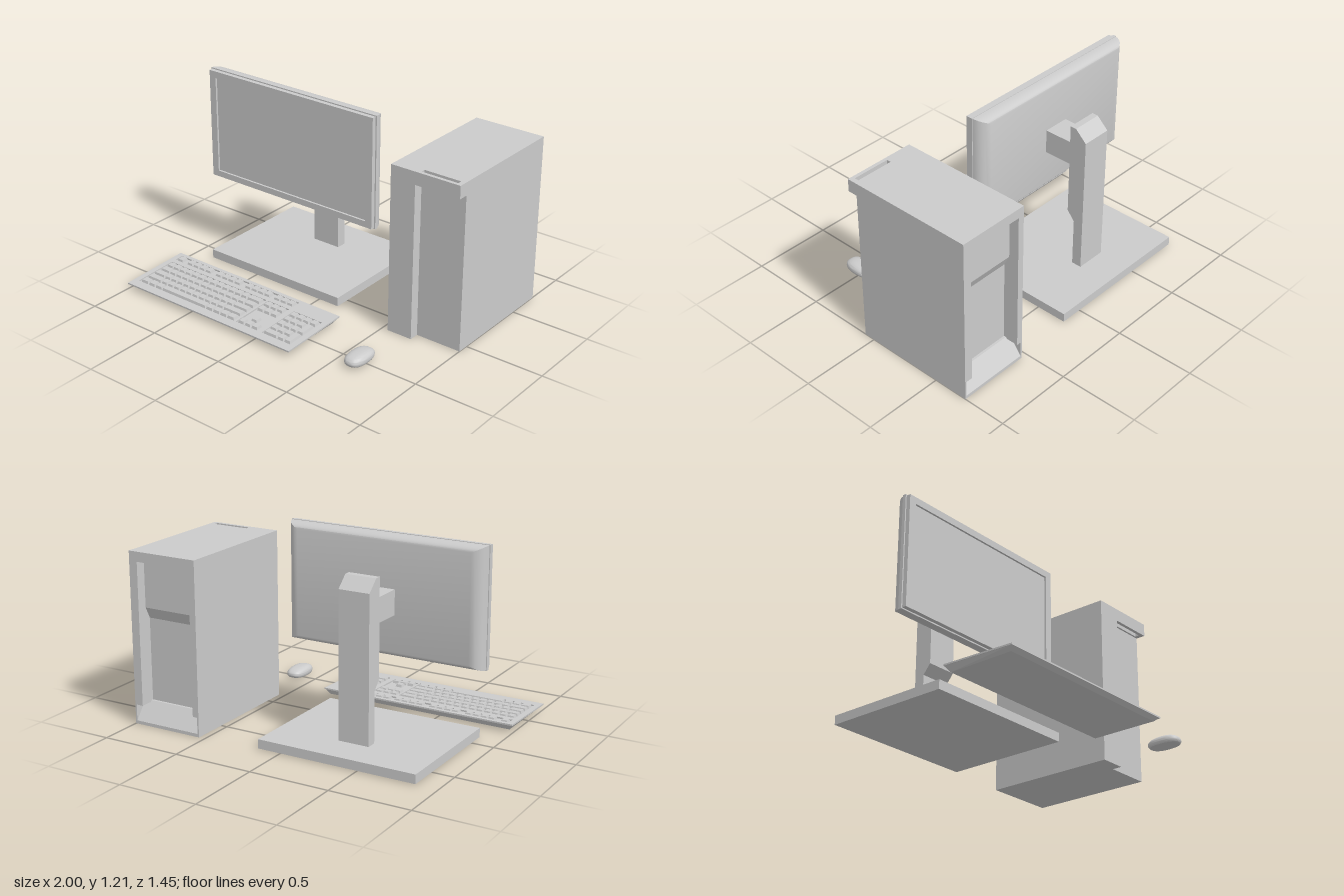
import * as THREE from 'three';
import { mergeGeometries, mergeVertices, toCreasedNormals } from 'three/addons/utils/BufferGeometryUtils.js';

const grey = new THREE.MeshStandardMaterial({ color: 0xcccccc });

function add(group, name, geo) {
  const m = new THREE.Mesh(geo, grey);
  m.name = name;
  group.add(m);
  return m;
}

// Box given by its extents
function box(x0, x1, y0, y1, z0, z1) {
  return new THREE.BoxGeometry(x1 - x0, y1 - y0, z1 - z0)
    .translate((x0 + x1) / 2, (y0 + y1) / 2, (z0 + z1) / 2);
}

const poly = pts => pts.map(p => new THREE.Vector2(p[0], p[1]));
const rect = (a, b, c, d) => [[a, c], [b, c], [b, d], [a, d]];

// Slab with openings, extruded along +z
function slab(outline, holes, depth) {
  const s = new THREE.Shape(poly(outline));
  holes.forEach(h => s.holes.push(new THREE.Path(poly(h))));
  return new THREE.ExtrudeGeometry(s, { depth, bevelEnabled: false });
}

// Horizontal slab: rectangles are [x0, x1, z0, z1]
function flatSlab(o, holes, y0, y1) {
  const r = ([a, b, c, d]) => rect(a, b, -d, -c);
  return slab(r(o), holes.map(r), y1 - y0).rotateX(-Math.PI / 2).translate(0, y0, 0);
}

// Side profile of [z, y] points, extruded from x0 to x1
function prism(profile, x0, x1) {
  return slab(profile, [], x1 - x0).rotateY(-Math.PI / 2).translate(x1, 0, 0);
}

// Stack of centred rectangles [halfWidth, halfHeight, level] joined along +z, capped
function loft(rings) {
  const R = rings.map(([w, h, z]) => [[-w, -h, z], [w, -h, z], [w, h, z], [-w, h, z]]);
  const pos = [];
  const quad = (a, b, c, d) => pos.push(...a, ...b, ...c, ...a, ...c, ...d);
  for (let i = 0; i + 1 < R.length; i++)
    for (let k = 0; k < 4; k++) {
      const n = (k + 1) % 4;
      quad(R[i][k], R[i][n], R[i + 1][n], R[i + 1][k]);
    }
  const [a, b, c, d] = R[0];
  quad(d, c, b, a);
  quad(...R[R.length - 1]);
  const g = new THREE.BufferGeometry();
  g.setAttribute('position', new THREE.Float32BufferAttribute(pos, 3));
  g.computeVertexNormals();
  return g;
}

function makeTower() {
  const g = new THREE.Group();
  g.name = 'tower';
  add(g, 'towerCore', box(0.54, 1, 0, 1.06, -0.625, 0.07));
  add(g, 'frontPanel', box(0.54, 0.705, 0, 1.06, 0.07, 0.132));
  // Overhang with a slot through it
  add(g, 'frontOverhang', flatSlab([0.705, 1, 0.07, 0.132], [[0.73, 0.97, 0.082, 0.11]], 0.98, 1.06));
  // Rear frame around the recess, widening at the foot
  const opening = [[0.55, 0.02], [0.99, 0.02], [0.99, 0.12], [0.945, 0.12],
    [0.945, 1.0], [0.58, 1.0], [0.58, 0.12], [0.55, 0.12]];
  add(g, 'rearFrame', slab(rect(0.54, 1, 0, 1.06), [opening], 0.1).translate(0, 0, -0.725));
  add(g, 'rearUpperPlate', prism([[-0.66, 1.0], [-0.66, 0.71], [-0.625, 0.64], [-0.625, 1.0]], 0.58, 0.945));
  add(g, 'rearSlopedFloor', prism([[-0.724, 0.02], [-0.625, 0.02], [-0.625, 0.13], [-0.64, 0.13]], 0.55, 0.99));
  return g;
}

function makeMonitor() {
  const g = new THREE.Group();
  g.name = 'monitor';
  add(g, 'bezel', slab(rect(-0.982, 0.272, 0.498, 1.203), [rect(-0.935, 0.225, 0.537, 1.16)], 0.03)
    .translate(0, 0, -0.085));
  add(g, 'screen', box(-0.94, 0.23, 0.53, 1.17, -0.085, -0.068));
  add(g, 'rim', box(-0.99, 0.28, 0.49, 1.21, -0.105, -0.083));
  // Housing rounded towards its flat back
  const rings = [];
  for (let i = 0; i <= 6; i++) {
    const a = (i / 6) * Math.PI / 2, inset = 1 - Math.cos(a);
    rings.push([0.63 - 0.075 * inset, 0.357 - 0.036 * inset, 0.073 * Math.sin(a)]);
  }
  add(g, 'housing', toCreasedNormals(loft(rings), 0.5).rotateY(Math.PI).translate(-0.355, 0.85, -0.104));
  // Stand
  add(g, 'standBase', box(-0.865, 0.145, 0.004, 0.06, -0.7, 0.1));
  add(g, 'standColumn', prism([[-0.485, 0.06], [-0.42, 0.06], [-0.42, 0.37], [-0.37, 0.43],
    [-0.37, 1.02], [-0.41, 1.02], [-0.485, 0.95]], -0.455, -0.26));
  add(g, 'standNeck', box(-0.445, -0.275, 0.75, 0.9, -0.375, -0.17));
  return g;
}

function makeKeyboard() {
  const g = new THREE.Group();
  g.name = 'keyboard';
  const cz = 0.4875;
  // Raise the top towards the rear, leaving the underside level
  const tilt = geo => {
    const p = geo.attributes.position;
    for (let i = 0; i < p.count; i++)
      if (p.getY(i) > 0.02) p.setY(i, p.getY(i) + (cz - p.getZ(i)) * 0.033);
    geo.computeVertexNormals();
    return geo;
  };
  add(g, 'keyboardBody', tilt(loft([[0.612, 0.205, 0.011], [0.636, 0.229, 0.038]])
    .rotateX(-Math.PI / 2).translate(-0.36, 0, cz)));
  // Top plate with sunken key trays
  const trays = [[-0.965, -0.005, 0.28, 0.338], [-0.965, -0.183, 0.372, 0.662],
    [-0.17, -0.005, 0.372, 0.662], [0.03, 0.243, 0.372, 0.662]];
  add(g, 'keyboardTop', tilt(flatSlab([-1, 0.28, 0.255, 0.72], trays, 0.038, 0.0475)));

  // Tapered keys, sizes in key units
  const U = 0.0511, V = 0.0565, keys = [];
  const key = (x, z, w = 1, d = 1) => {
    const hw = (w * U - 0.007) / 2, hd = (d * V - 0.01) / 2;
    keys.push(loft([[hw, hd, 0.037], [hw - 0.005, hd - 0.005, 0.054]])
      .rotateX(-Math.PI / 2).translate(x + w * U / 2, 0, z + (d - 1) * V / 2));
  };
  const X0 = -0.958, NAV = -0.166, PAD = 0.032;
  const rowZ = r => 0.401 + r * V;
  // Function row
  [[X0, 1], [-0.876, 4], [-0.636, 4], [-0.396, 4], [NAV, 3]].forEach(([x, n]) => {
    for (let i = 0; i < n; i++) key(x + i * U, 0.308);
  });
  // Main block: first width, number of single keys, last width
  [[1, 12, 2], [1.5, 12, 1.5], [1.75, 11, 2.25], [2.25, 10, 2.75]].forEach(([a, n, b], r) => {
    key(X0, rowZ(r), a);
    for (let i = 0; i < n; i++) key(X0 + (a + i) * U, rowZ(r));
    key(X0 + (a + n) * U, rowZ(r), b);
  });
  let x = X0;
  [1.25, 1.1, 1.1, 7.05, 1.1, 1.1, 1.1, 1.2].forEach(w => { key(x, rowZ(4), w); x += w * U; });
  // Navigation, arrow and number keys
  for (let i = 0; i < 3; i++) {
    [0, 1, 4].forEach(r => key(NAV + i * U, rowZ(r)));
    [0, 1, 2, 3].forEach(r => key(PAD + i * U, rowZ(r)));
  }
  key(NAV + U, rowZ(3));
  key(PAD + 3 * U, rowZ(0));
  key(PAD + 3 * U, rowZ(1), 1, 2);
  key(PAD + 3 * U, rowZ(3), 1, 2);
  key(PAD, rowZ(4), 2);
  key(PAD + 2 * U, rowZ(4));
  add(g, 'keys', tilt(mergeGeometries(keys)));
  return g;
}

function makeMouse() {
  const g = new THREE.Group();
  g.name = 'mouse';
  // Squared-off sphere with a flat underside, highest towards the palm
  let geo = new THREE.SphereGeometry(1, 40, 24);
  geo.deleteAttribute('uv');
  geo.deleteAttribute('normal');
  geo = mergeVertices(geo, 1e-4);
  const p = geo.attributes.position;
  const pw = (v, e) => Math.sign(v) * Math.abs(v) ** e;
  for (let i = 0; i < p.count; i++) {
    const x = pw(p.getX(i), 0.75), y = p.getY(i), z = pw(p.getZ(i), 0.85);
    const top = 0.038 * pw(y, 0.85) * (1 + 0.08 * z);
    p.setXYZ(i, 0.622 + 0.0615 * x, 0.033 + (y > 0 ? top : Math.max(0.04 * y, -0.019)), 0.509 + 0.105 * z);
  }
  add(g, 'mouseBody', toCreasedNormals(geo, 0.7));
  // Scroll wheel
  add(g, 'scrollWheel', new THREE.CylinderGeometry(0.015, 0.015, 0.014, 20)
    .rotateZ(Math.PI / 2).translate(0.622, 0.054, 0.475));
  return g;
}

export function createModel() {
  const model = new THREE.Group();
  model.name = 'desktopComputer';
  model.add(makeTower(), makeMonitor(), makeKeyboard(), makeMouse());
  return model;
}
